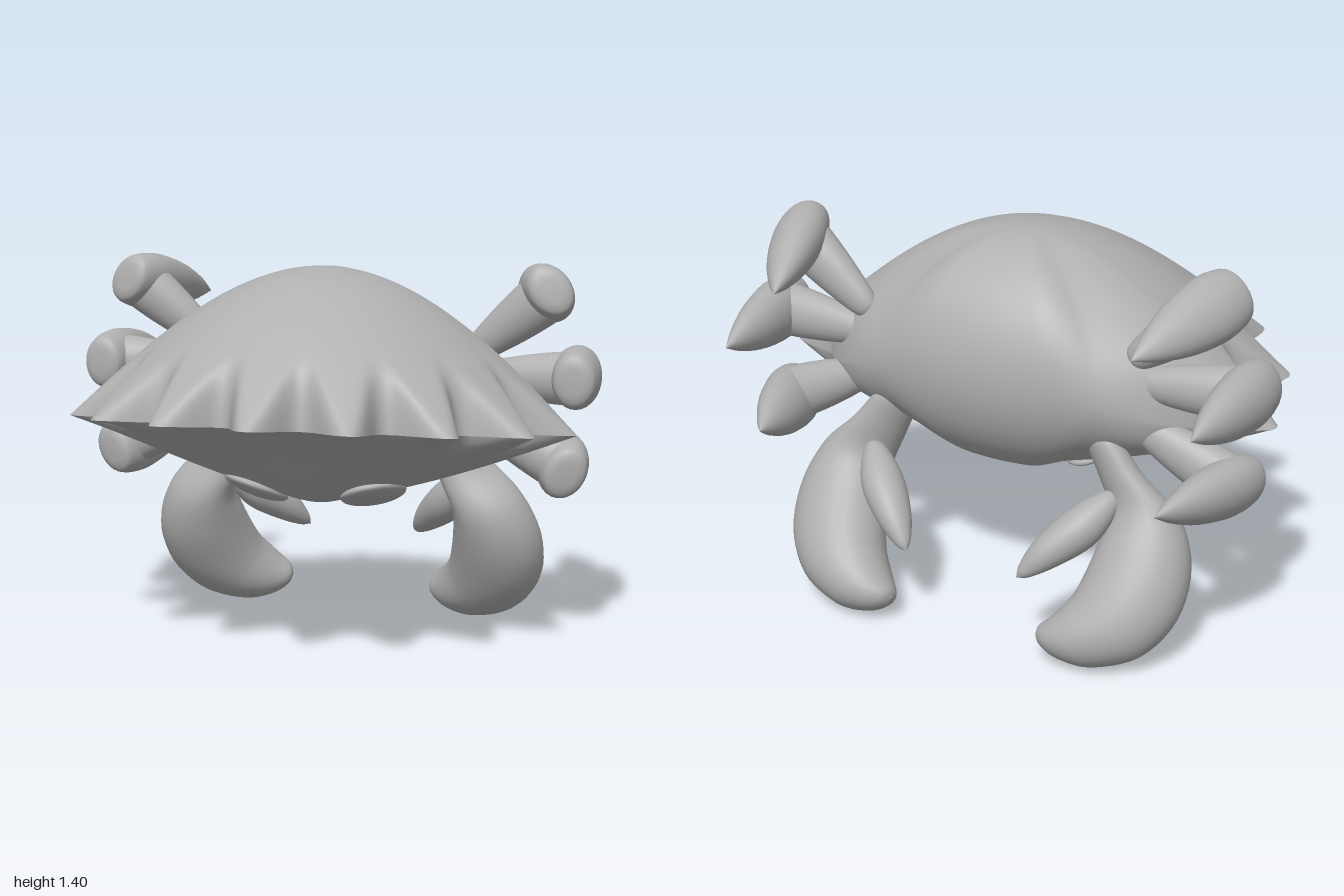
import * as THREE from 'three';

const { lerp, smoothstep, clamp } = THREE.MathUtils;
const shell = new THREE.MeshStandardMaterial({ color: 0xb0b0b0 });
shell.name = 'shellGrey';

const vec = (x, y, z) => new THREE.Vector3(x, y, z);
const spline = (points) => new THREE.CatmullRomCurve3(points, false, 'catmullrom');

// Smooth skin over rows of points; each row is a closed loop
function skin(rows) {
  const n = rows[0].length, pos = [], idx = [];
  rows.forEach((row) => row.forEach((p) => pos.push(p.x, p.y, p.z)));
  for (let i = 0; i < rows.length - 1; i++) {
    for (let j = 0; j < n; j++) {
      const a = i * n + j, b = i * n + ((j + 1) % n);
      idx.push(a, b, a + n, b, b + n, a + n);
    }
  }
  const g = new THREE.BufferGeometry();
  g.setAttribute('position', new THREE.Float32BufferAttribute(pos, 3));
  g.setIndex(idx);
  g.computeVertexNormals();
  return g;
}

// Elliptical loop round c with half axes u and v
function loop(c, u, v, sides = 28) {
  return Array.from({ length: sides }, (_, j) => {
    const a = (j / sides) * Math.PI * 2;
    return c.clone().addScaledVector(u, Math.cos(a)).addScaledVector(v, Math.sin(a));
  });
}

// Elliptical tube along points [x, y, z, width, depth]; depth is measured along ref
function sweep(points, side, ref, steps = 36) {
  const path = spline(points.map((p) => vec(p[0] * side, p[1], p[2])));
  const size = spline(points.map((p) => vec(p[3], p[4], 0)));
  const rows = [];
  for (let i = 0; i <= steps; i++) {
    const r = size.getPoint(i / steps), t = path.getTangent(i / steps);
    const n = vec().crossVectors(t, ref).normalize();
    const b = vec().crossVectors(t, n);
    rows.push(loop(path.getPoint(i / steps),
      n.multiplyScalar(Math.max(0, r.x)), b.multiplyScalar(Math.max(0, r.y))));
  }
  return skin(rows);
}

// Straight limb segment: profile rows are [fraction along, radius]
function limb(from, to, profile, flat, side, ref) {
  return sweep(profile.map(([f, r]) => [
    ...from.map((v, k) => lerp(v, to[k], f)), r * flat, r]), side, ref);
}

// Crescent claw: rows are inner x, y, outer x, y and depth, lying in a tilted plane
const CLAW = [
  [0.38, 0.77, 0.38, 0.77, 0], [0.34, 0.72, 0.46, 0.75, 0.07],
  [0.39, 0.6, 0.56, 0.63, 0.095], [0.44, 0.48, 0.69, 0.5, 0.12],
  [0.43, 0.38, 0.76, 0.34, 0.145], [0.41, 0.29, 0.75, 0.18, 0.152],
  [0.39, 0.23, 0.655, 0.06, 0.145], [0.365, 0.19, 0.5, 0.01, 0.125],
  [0.33, 0.15, 0.38, 0.022, 0.09], [0.292, 0.115, 0.31, 0.055, 0.045],
  [0.287, 0.085, 0.287, 0.085, 0],
];
const clawNormal = (side) => vec(-0.2 * side, -0.58, 1).normalize();
function clawGeometry(side) {
  const at = (x, y) => vec(x * side, y, -0.38 - 0.58 * Math.max(0, 0.5 - y)
    + 0.2 * (x - 0.5) * (1 - smoothstep(y, 0.3, 0.6)));
  const inner = spline(CLAW.map((p) => at(p[0], p[1])));
  const outer = spline(CLAW.map((p) => at(p[2], p[3])));
  const depth = spline(CLAW.map((p) => vec(p[4], 0, 0)));
  const rows = [], steps = 50;
  for (let i = 0; i <= steps; i++) {
    const a = inner.getPoint(i / steps), b = outer.getPoint(i / steps);
    const d = Math.max(0, depth.getPoint(i / steps).x);
    rows.push(loop(a.clone().lerp(b, 0.5), b.sub(a).multiplyScalar(0.5),
      clawNormal(side).multiplyScalar(d * side)));
  }
  return skin(rows);
}

// Domed carapace with nine spikes round the front rim
function carapaceGeometry() {
  const rings = 48, segs = 320, cz = -0.15, rows = [];
  for (let i = -rings; i <= rings; i++) {
    const t = Math.sin((1 - Math.abs(i) / rings) * Math.PI / 2);
    const top = i > 0, row = [];
    for (let j = 0; j < segs; j++) {
      const phi = (j / segs) * Math.PI * 2;
      const deg = Math.min(phi, Math.PI * 2 - phi) * 180 / Math.PI;
      const s = Math.sin(phi), c = Math.cos(phi);
      const base = deg < 90 ? lerp(0.715, 0.77, deg / 90) : 1 / Math.hypot(s / 0.77, c / 0.41);
      const spike = deg < 101.25 ? Math.pow(0.5 + 0.5 * Math.cos(phi * 16), 1.2) : 0;
      const rim = base + 0.178 * spike;
      const envelope = base + 0.178 * (1 - smoothstep(deg, 90, 130));
      const back = smoothstep(deg, 90, 150);
      const height = (q) => {
        const cosine = Math.cos(q * Math.PI / 2);
        const keel = Math.pow(Math.abs(cosine), 2.4);
        const front = top ? cosine : lerp(keel, (cosine + 1 - q) / 2, smoothstep(deg, 10, 90));
        return lerp(front, Math.sqrt(Math.max(0, 1 - q * q)), back);
      };
      // Notches stay close to the rim so the dome above is smooth
      const h = lerp(height(t * rim / envelope), height(t), Math.pow(t, 24));
      const rimY = lerp(0.81 + 0.12 * clamp(cz + rim * c, -0.15, 0.75), 0.94, back);
      const domeY = lerp(0.81 + 0.12 * clamp(cz + envelope * c, -0.15, 0.75), 0.94, back);
      row.push(vec(t * rim * s,
        lerp(lerp(domeY, rimY, Math.pow(t, 24)), top ? 1.375 : 0.5, i === 0 ? 0 : h),
        cz + t * rim * c));
    }
    rows.push(row);
  }
  return skin(rows);
}

export function createModel() {
  const model = new THREE.Group();
  model.name = 'crab';
  const add = (name, geometry) => {
    const mesh = new THREE.Mesh(geometry, shell);
    mesh.name = name;
    model.add(mesh);
    return mesh;
  };
  add('carapace', carapaceGeometry());

  const thigh = [[0, 0], [0.05, 0.045], [0.35, 0.075], [0.7, 0.095], [0.92, 0.097], [1.01, 0.075], [1.04, 0]];
  const point = [[0, 0], [0.012, 0.07], [0.07, 0.102], [0.27, 0.116], [0.55, 0.096], [0.8, 0.053], [1, 0]];
  // hip, knee, start and tip of the pointed segment
  const legs = [
    ['upper', [0.5, 1.04, -0.37], [0.84, 1.31, -0.34], [0.825, 1.3, -0.25], [0.66, 1.21, -0.745]],
    ['middle', [0.5, 0.96, -0.36], [0.95, 0.975, -0.32], [0.918, 0.975, -0.21], [0.87, 0.975, -0.745]],
    ['lower', [0.5, 0.82, -0.36], [0.9, 0.63, -0.34], [0.892, 0.63, -0.24], [0.75, 0.68, -0.745]],
  ];
  const pincer = [
    [0.49, 0.58, -0.42, 0, 0], [0.46, 0.54, -0.45, 0.045, 0.045],
    [0.39, 0.46, -0.52, 0.075, 0.08], [0.3, 0.38, -0.6, 0.06, 0.065],
    [0.24, 0.32, -0.65, 0.03, 0.03], [0.215, 0.295, -0.67, 0, 0],
  ];

  for (const side of [1, -1]) {
    const label = side > 0 ? 'left' : 'right';
    for (const [name, hip, knee, start, tip] of legs) {
      const across = vec((hip[1] - knee[1]) * side, knee[0] - hip[0], 0);
      add(`${label} ${name} leg thigh`, limb(hip, knee, thigh, 0.8, side, across));
      add(`${label} ${name} leg point`, limb(start, tip, point, 0.78, side, across));
    }
    add(`${label} claw`, clawGeometry(side));
    add(`${label} pincer`, sweep(pincer, side, clawNormal(side)));

    // Flat oval eye under the front rim
    const eye = add(`${label} eye`, new THREE.SphereGeometry(1, 28, 18));
    eye.scale.set(0.12, 0.035, 0.155);
    eye.position.set(0.225 * side, 0.56, -0.04);
    eye.rotation.set(-0.3, 0, 0.28 * side);
  }
  return model;
}
